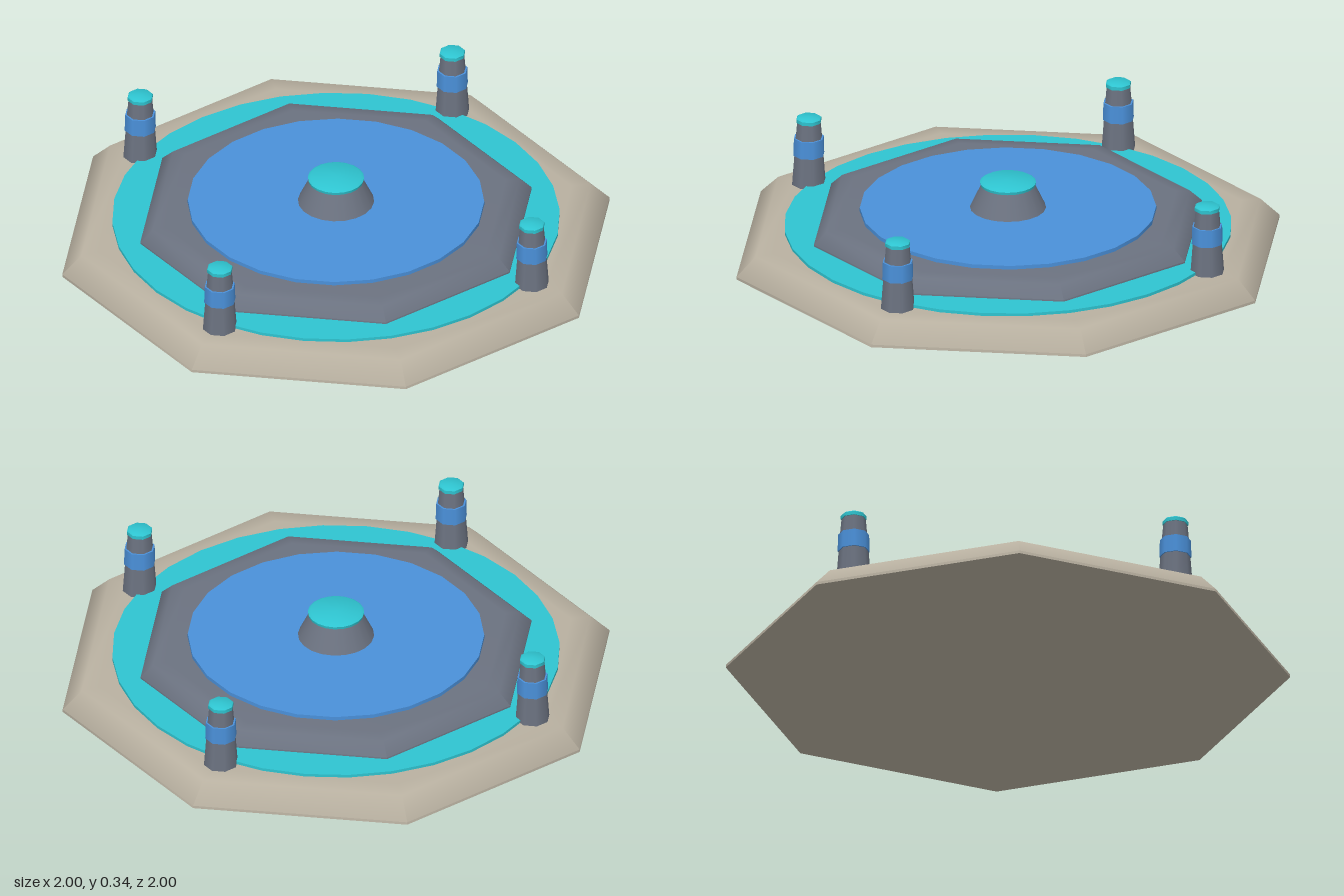
import * as THREE from 'three';
import { toCreasedNormals } from 'three/addons/utils/BufferGeometryUtils.js';

const material = (name, color) => {
  const m = new THREE.MeshStandardMaterial({ color });
  m.name = name;
  return m;
};

export function createModel() {
  const stone = material('warm stone', 0xb8b0a0);
  const metal = material('slate grey', 0x6b7280);
  const teal = material('teal glow', 0x2ec4d0);
  const blue = material('blue panel', 0x4a90d9);

  const model = new THREE.Group();
  model.name = 'landingPad';

  // Solid of revolution; profile runs from the bottom axis outwards and up
  function turned(name, profile, sides, mat, parent, crease = 0.9) {
    const points = profile.map(([r, y]) => new THREE.Vector2(r, y));
    const geometry = toCreasedNormals(new THREE.LatheGeometry(points, sides), crease);
    const mesh = new THREE.Mesh(geometry, mat);
    mesh.name = name;
    parent.add(mesh);
    return mesh;
  }

  // Plain cylinder or cone between two heights
  function drum(name, rBottom, rTop, y0, y1, sides, mat, parent) {
    const mesh = new THREE.Mesh(new THREE.CylinderGeometry(rTop, rBottom, y1 - y0, sides), mat);
    mesh.position.y = (y0 + y1) / 2;
    mesh.name = name;
    parent.add(mesh);
    return mesh;
  }

  // Octagonal tiers with softened bevels
  turned('basePlatform',
    [[0, 0], [1, 0], [1, 0.01], [0.93, 0.08], [0.86, 0.083], [0, 0.083]], 8, stone, model);
  drum('outerRing', 0.793, 0.793, 0.08, 0.094, 32, teal, model);
  turned('upperPlatform',
    [[0, 0.085], [0.715, 0.085], [0.715, 0.1], [0.67, 0.143], [0.62, 0.147], [0, 0.147]], 8, metal, model);
  drum('innerDisc', 0.525, 0.525, 0.14, 0.161, 24, blue, model);

  // Central beacon
  const beacon = new THREE.Group();
  beacon.name = 'beacon';
  model.add(beacon);
  drum('beaconBase', 0.138, 0.092, 0.155, 0.252, 20, metal, beacon);
  turned('beaconLamp',
    [[0, 0.248], [0.098, 0.248], [0.1, 0.258], [0.09, 0.264], [0, 0.267]], 20, teal, beacon);

  // Four corner posts
  for (const x of [-0.57, 0.57]) {
    for (const z of [-0.57, 0.57]) {
      const post = new THREE.Group();
      post.name = 'cornerPost';
      post.position.set(x, 0, z);
      drum('postShaft', 0.062, 0.053, 0.08, 0.2, 8, metal, post);
      drum('postBand', 0.057, 0.055, 0.195, 0.26, 8, blue, post);
      drum('postNeck', 0.049, 0.043, 0.255, 0.322, 8, metal, post);
      turned('postLamp',
        [[0, 0.32], [0.046, 0.32], [0.046, 0.333], [0.039, 0.338], [0, 0.338]], 8, teal, post);
      model.add(post);
    }
  }
  return model;
}
